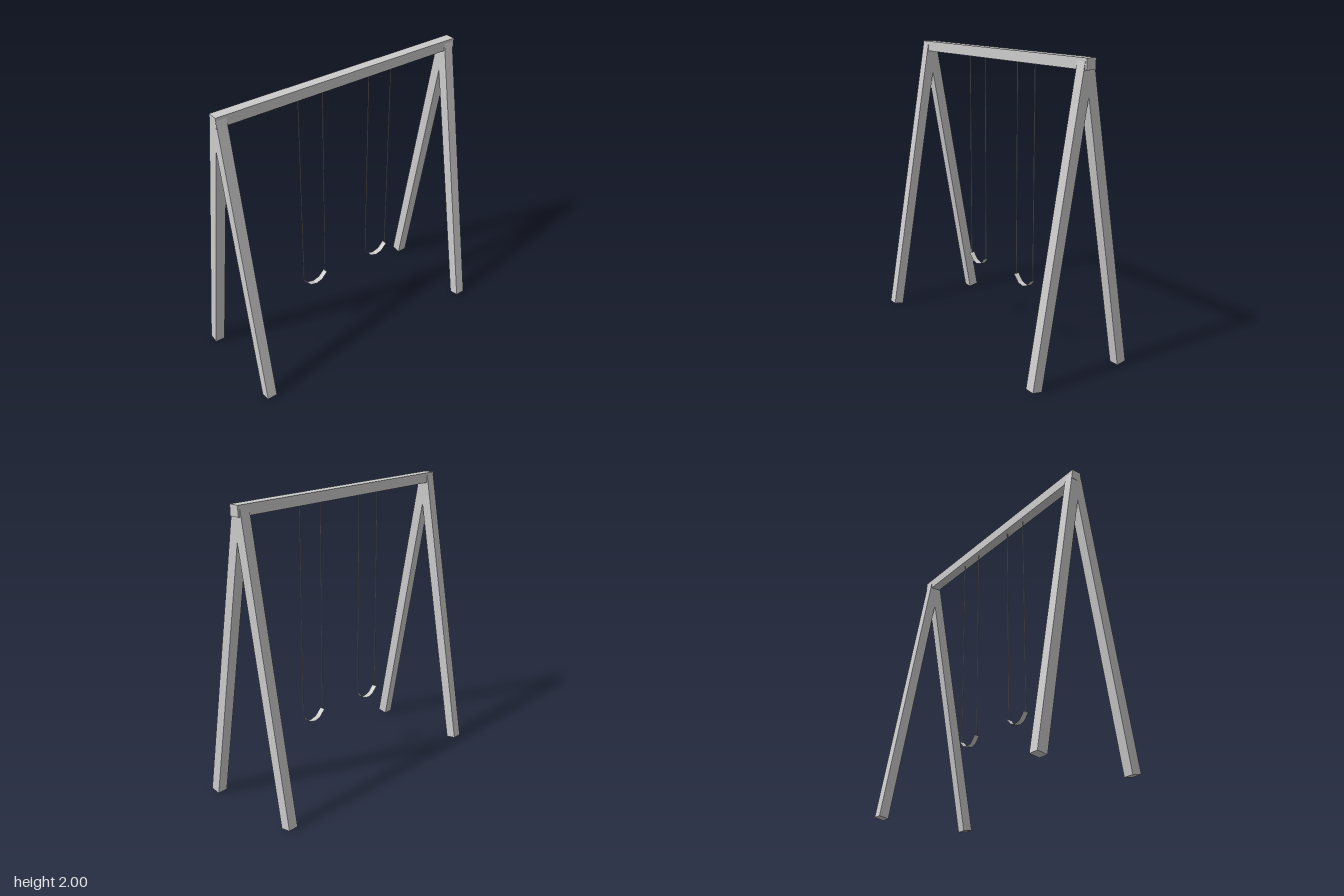
import * as THREE from 'three';

const material = new THREE.MeshStandardMaterial({ color: 0xcccccc, flatShading: true });
const sheetMaterial = new THREE.MeshStandardMaterial({ color: 0xcccccc, flatShading: true, side: THREE.DoubleSide });

const BEAM = 0.07;            // timber thickness
const TILT = THREE.MathUtils.degToRad(10);

function addMesh(parent, name, geometry, x, y, z, mat = material) {
  const mesh = new THREE.Mesh(geometry, mat);
  mesh.name = name;
  mesh.position.set(x, y, z);
  parent.add(mesh);
  return mesh;
}

// Two leaning legs that cross under the top beam
function createFrame(name, z) {
  const frame = new THREE.Group();
  frame.name = name;
  for (const side of [1, -1]) {
    const leg = addMesh(frame, side > 0 ? 'leftLeg' : 'rightLeg',
      new THREE.BoxGeometry(BEAM, 2, BEAM), side * 0.174, 0.991, z);
    leg.rotation.z = side * TILT;
  }
  return frame;
}

// Thin sagging strip, swept across x
function createSeatGeometry() {
  const profile = [[0.0925, 0.497], [0.047, 0.45], [0, 0.437], [-0.047, 0.45], [-0.0925, 0.497]];
  const geometry = new THREE.PlaneGeometry(1, 1, profile.length - 1, 1);
  const position = geometry.attributes.position;
  for (let i = 0; i < position.count; i++) {
    const [z, y] = profile[i % profile.length];
    position.setXYZ(i, i < profile.length ? -0.02 : 0.02, y, z);
  }
  geometry.computeVertexNormals();
  return geometry;
}

function createSwing(name, z) {
  const swing = new THREE.Group();
  swing.name = name;
  swing.position.z = z;
  const bottom = 0.495, top = 1.94;
  for (const side of [1, -1]) {
    addMesh(swing, side > 0 ? 'frontRope' : 'backRope',
      new THREE.CylinderGeometry(0.003, 0.003, top - bottom, 6), 0, (top + bottom) / 2, side * 0.0915);
  }
  addMesh(swing, 'seat', createSeatGeometry(), 0, 0, 0, sheetMaterial);
  return swing;
}

export function createModel() {
  const model = new THREE.Group();
  model.name = 'swingSet';
  addMesh(model, 'topBeam', new THREE.BoxGeometry(BEAM, BEAM, 1.83), 0, 2 - BEAM / 2, 0);
  model.add(createFrame('frontFrame', 0.879), createFrame('backFrame', -0.866));
  model.add(createSwing('frontSwing', 0.243), createSwing('backSwing', -0.305));
  return model;
}
